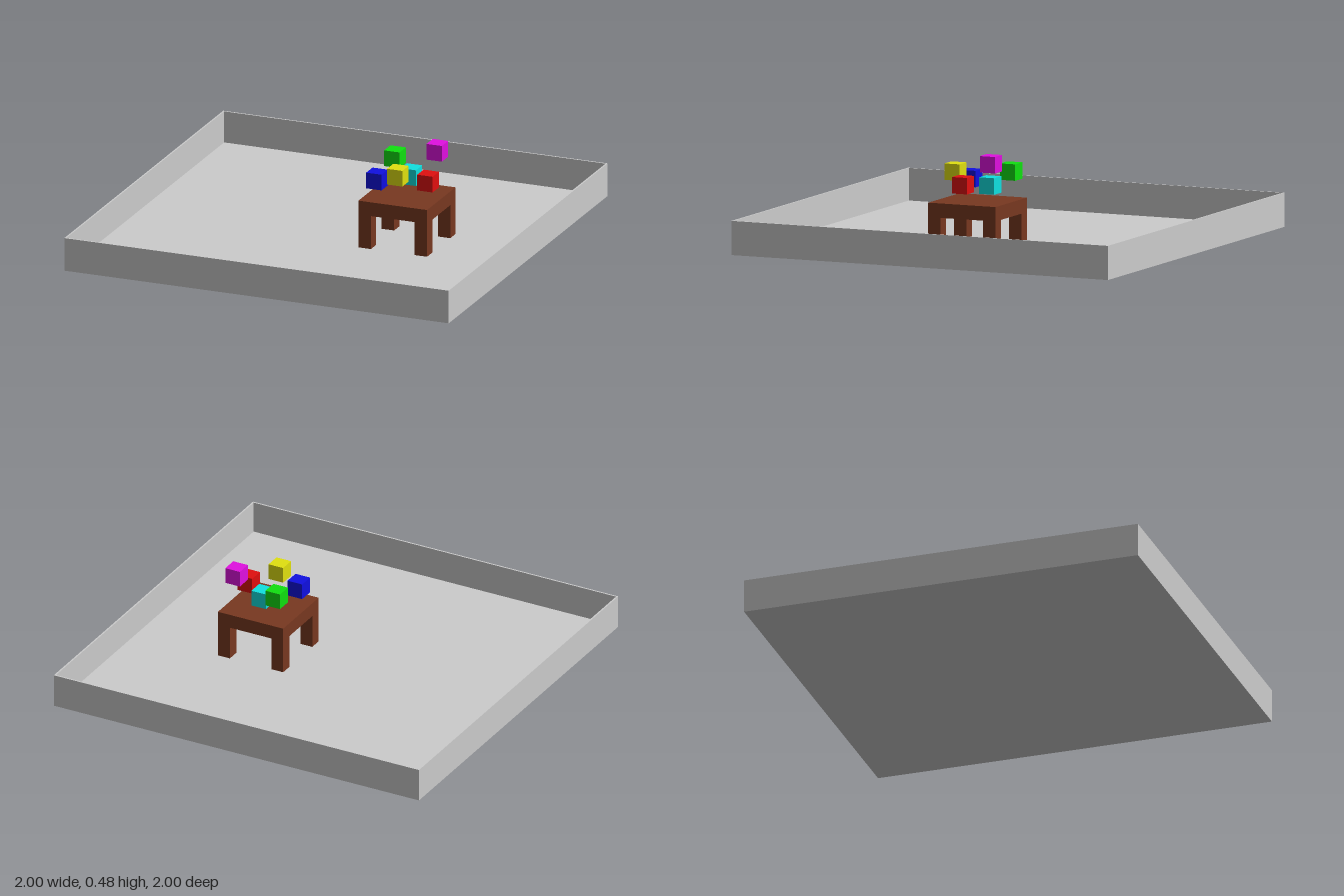
import * as THREE from 'three';

export function createModel() {
  const model = new THREE.Group();

  const grey = new THREE.MeshStandardMaterial({ color: 0xcccccc });
  const wood = new THREE.MeshStandardMaterial({ color: 0x783820 });

  // Box with its size and centre given
  const addBox = (parent, name, material, [w, h, d], [x, y, z]) => {
    const mesh = new THREE.Mesh(new THREE.BoxGeometry(w, h, d), material);
    mesh.name = name;
    mesh.position.set(x, y, z);
    parent.add(mesh);
  };

  // Open tray: thin floor and four low walls
  const tray = new THREE.Group();
  tray.name = 'tray';
  const wallHeight = 0.166, thin = 0.008, floorTop = 0.008;
  addBox(tray, 'floor', grey, [2, floorTop, 2], [0, floorTop / 2, 0]);
  const wallRise = wallHeight - floorTop, wallY = floorTop + wallRise / 2;
  for (const side of [-1, 1]) {
    const offset = side * (1 - thin / 2);
    addBox(tray, side > 0 ? 'leftWall' : 'rightWall', grey, [thin, wallRise, 2], [offset, wallY, 0]);
    addBox(tray, side > 0 ? 'frontWall' : 'backWall', grey, [2 - 2 * thin, wallRise, thin], [0, wallY, offset]);
  }
  model.add(tray);

  // Square table with four legs flush with the corners
  const table = new THREE.Group();
  table.name = 'table';
  table.position.set(0.365, floorTop, -0.01);
  const width = 0.357, slab = 0.07, height = 0.246 - floorTop, leg = 0.065;
  addBox(table, 'tableTop', wood, [width, slab, width], [0, height - slab / 2, 0]);
  const legHeight = height - slab, inset = (width - leg) / 2;
  for (const sx of [-1, 1]) {
    for (const sz of [-1, 1]) {
      addBox(table, 'tableLeg', wood, [leg, legHeight, leg], [sx * inset, legHeight / 2, sz * inset]);
    }
  }
  model.add(table);

  // Coloured cubes floating above the table
  const cubes = [
    ['redCube', 0xe01010, [0.484, 0.335, 0.012]],
    ['greenCube', 0x10e010, [0.251, 0.38, -0.135]],
    ['blueCube', 0x1010e0, [0.246, 0.335, 0.078]],
    ['yellowCube', 0xe0e010, [0.366, 0.38, 0.107]],
    ['cyanCube', 0x10e0e0, [0.361, 0.323, -0.075]],
    ['magentaCube', 0xe010e0, [0.473, 0.444, -0.131]],
  ];
  for (const [name, color, centre] of cubes) {
    addBox(model, name, new THREE.MeshStandardMaterial({ color }), [0.08, 0.08, 0.08], centre);
  }

  return model;
}
